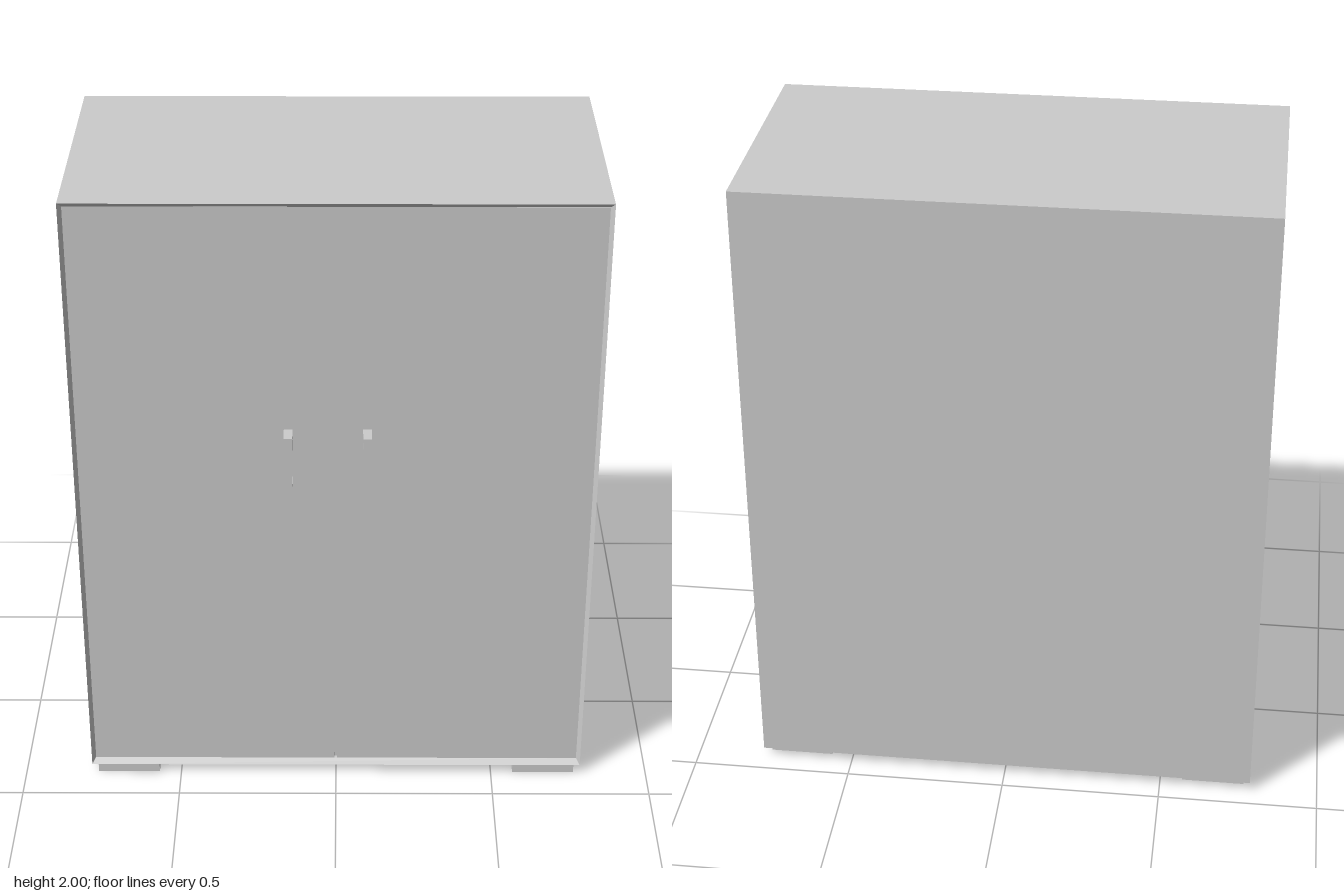
import * as THREE from 'three';

const material = new THREE.MeshStandardMaterial({ color: 0xcccccc, flatShading: true });

// Box given by its limits on each axis
function addBox(parent, name, [x0, x1], [y0, y1], [z0, z1]) {
  const mesh = new THREE.Mesh(new THREE.BoxGeometry(x1 - x0, y1 - y0, z1 - z0), material);
  mesh.position.set((x0 + x1) / 2, (y0 + y1) / 2, (z0 + z1) / 2);
  mesh.name = name;
  parent.add(mesh);
  return mesh;
}

// Closed skin through rectangles [x0, x1, y0, y1, z], capped at both ends
function loftRectangles(rings) {
  const corners = rings.map(([x0, x1, y0, y1, z]) => [[x0, y0, z], [x1, y0, z], [x1, y1, z], [x0, y1, z]]);
  const positions = [];
  const quad = (a, b, c, d) => positions.push(...a, ...b, ...c, ...a, ...c, ...d);
  for (let r = 0; r + 1 < corners.length; r++) {
    for (let i = 0; i < 4; i++) {
      const j = (i + 1) % 4;
      quad(corners[r][i], corners[r][j], corners[r + 1][j], corners[r + 1][i]);
    }
  }
  const first = corners[0];
  const last = corners[corners.length - 1];
  quad(first[3], first[2], first[1], first[0]);
  quad(last[0], last[1], last[2], last[3]);
  const geometry = new THREE.BufferGeometry();
  geometry.setAttribute('position', new THREE.Float32BufferAttribute(positions, 3));
  geometry.computeVertexNormals();
  return geometry;
}

export function createModel() {
  const model = new THREE.Group();
  model.name = 'cabinet';

  // Carcass whose front rim slopes inward to the recessed doors
  const carcass = new THREE.Mesh(loftRectangles([
    [-0.787, 0.787, 0.03, 2, -0.435],
    [-0.787, 0.787, 0.03, 2, 0.39],
    [-0.775, 0.775, 0.048, 1.985, 0.375],
    [-0.775, 0.775, 0.048, 1.985, 0.365],
  ]), material);
  carcass.name = 'carcass';
  model.add(carcass);

  // Two doors with a narrow gap between them
  addBox(model, 'rightDoor', [-0.775, -0.004], [0.048, 1.985], [0.365, 0.376]);
  addBox(model, 'leftDoor', [0.004, 0.775], [0.048, 1.985], [0.365, 0.376]);

  // Bar handles standing off on two thin arms
  for (const [name, x] of [['rightHandle', -0.142], ['leftHandle', 0.094]]) {
    const handle = new THREE.Group();
    handle.name = name;
    const width = [x - 0.013, x + 0.013];
    addBox(handle, 'grip', width, [1.095, 1.265], [0.422, 0.435]);
    addBox(handle, 'lowerArm', width, [1.095, 1.102], [0.37, 0.423]);
    addBox(handle, 'upperArm', width, [1.258, 1.265], [0.37, 0.423]);
    model.add(handle);
  }

  // Low square feet
  for (const [side, x] of [['left', [0.57, 0.767]], ['right', [-0.767, -0.57]]]) {
    addBox(model, side + 'FrontFoot', x, [0, 0.031], [0.19, 0.387]);
    addBox(model, side + 'BackFoot', x, [0, 0.031], [-0.404, -0.207]);
  }
  return model;
}
